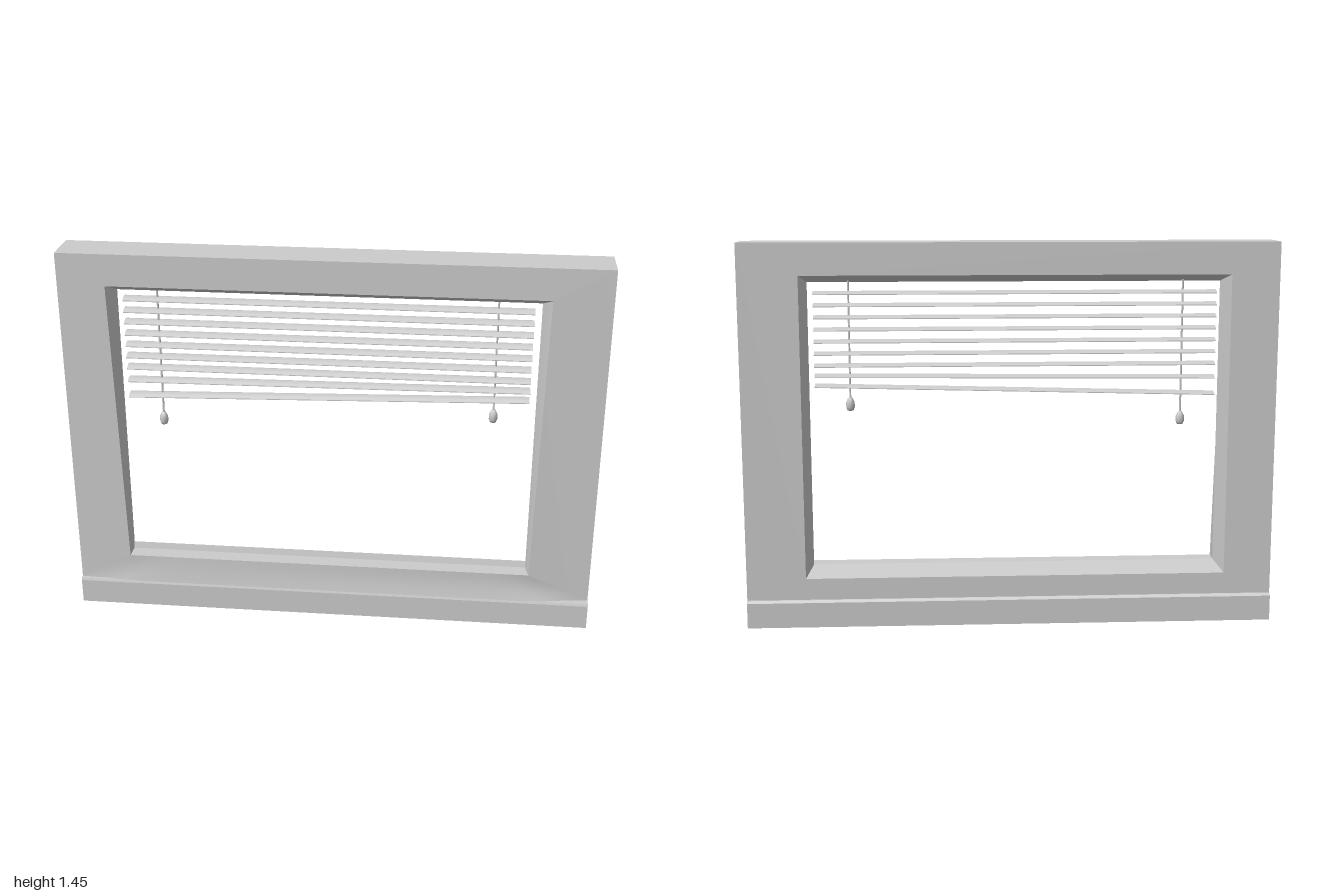
import * as THREE from 'three';

const grey = new THREE.MeshStandardMaterial({ color: 0xcccccc, side: THREE.DoubleSide });

function add(parent, name, geometry, x = 0, y = 0, z = 0) {
  const mesh = new THREE.Mesh(geometry, grey);
  mesh.name = name;
  mesh.position.set(x, y, z);
  parent.add(mesh);
  return mesh;
}

// Surface through rows of [x, y, z] points, smooth inside one surface
function loft(rows) {
  const n = rows[0].length, index = [];
  for (let j = 0; j < rows.length - 1; j++) {
    for (let i = 0; i < n - 1; i++) {
      const a = j * n + i, b = a + 1, c = b + n, d = a + n;
      index.push(a, b, c, a, c, d);
    }
  }
  const g = new THREE.BufferGeometry();
  g.setAttribute('position', new THREE.Float32BufferAttribute(rows.flat(2), 3));
  g.setIndex(index);
  g.computeVertexNormals();
  return g;
}

const mix = (a, b, t) => a.map((v, i) => v + (b[i] - v) * t);

// Flat bands between consecutive rows
function bands(parent, name, rows, skip = () => false) {
  for (let j = 0; j < rows.length - 1; j++) {
    for (let i = 0; i < rows[0].length - 1; i++) {
      if (skip(j, i)) continue;
      add(parent, name, loft([[rows[j][i], rows[j][i + 1]], [rows[j + 1][i], rows[j + 1][i + 1]]]));
    }
  }
}

function buildWall() {
  const wall = new THREE.Group();
  wall.name = 'wall';
  // Rings run bottom left, bottom right, top right, top left
  const frontOuter = [[-1, 0.105, 0.075], [1, 0.105, 0.06], [1, 1.45, 0.08], [-1, 1.45, 0.08]];
  const frontInner = [[-0.797, 0.215, 0.08], [0.765, 0.215, 0.08], [0.786, 1.33, 0.08], [-0.823, 1.33, 0.08]];
  const middle = [[-0.795, 0.215, 0.02], [0.754, 0.215, 0.02], [0.754, 1.3, 0.02], [-0.795, 1.3, 0.02]];
  const backInner = [[-0.82, 0.187, -0.08], [0.777, 0.187, -0.08], [0.777, 1.33, -0.08], [-0.82, 1.33, -0.08]];
  const backOuter = [[-1, 0.105, -0.08], [1, 0.105, -0.08], [1, 1.45, -0.08], [-1, 1.45, -0.08]];
  const rings = [frontOuter, frontInner, middle, backInner, backOuter, frontOuter].map(r => [...r, r[0]]);
  bands(wall, 'wallFace', rings, (j, i) => i === 0 && (j === 0 || j === 4));

  // Front panel under the sill swells out towards the skirting
  const rows = [];
  for (let j = 0; j <= 4; j++) {
    const row = [], v = j / 4;
    for (let i = 0; i <= 24; i++) {
      const u = i / 24;
      const p = mix(mix(frontOuter[0], frontOuter[1], u), mix(frontInner[0], frontInner[1], u), v);
      const reach = THREE.MathUtils.smoothstep(Math.min(u, 1 - u), 0, 0.12);
      p[2] += (0.09 - p[2]) * reach * (1 - v);
      row.push(p);
    }
    rows.push(row);
  }
  add(wall, 'panelUnderSill', loft(rows));
  return wall;
}

// Skirting shell, open underneath
function buildSkirting() {
  const skirting = new THREE.Group();
  skirting.name = 'skirting';
  const levels = [[0, 0.093, -0.094], [0.096, 0.093, -0.094], [0.105, 0.09, -0.087], [0.105, 0.055, -0.078]];
  const rows = levels.map(([y, f, b]) => [[-1, y, f], [1, y, f], [1, y, b], [-1, y, b], [-1, y, f]]);
  bands(skirting, 'skirtingFace', rows);
  return skirting;
}

function buildBlind() {
  const blind = new THREE.Group();
  blind.name = 'blind';

  // Thin bowed slat section, pushed along x
  const half = 0.029, section = new THREE.Shape();
  section.moveTo(-half, -0.006);
  section.quadraticCurveTo(0, 0.014, half, -0.006);
  section.lineTo(half, -0.009);
  section.quadraticCurveTo(0, 0.008, -half, -0.009);
  const slat = new THREE.ExtrudeGeometry(section, { depth: 1.505, bevelEnabled: false, curveSegments: 4 });
  slat.translate(0, 0, -0.7525).rotateY(Math.PI / 2);
  for (let i = 0; i < 9; i++) {
    const y = i < 8 ? 1.265 - i * 0.045 : 0.9;
    const mesh = add(blind, 'slat', slat, -0.0225, y, -0.003);
    mesh.rotation.z = [0.009, 0.026][i - 7] ?? 0;
  }

  // Pull cords with barrel knobs
  const knobProfile = [[0, 0], [0.011, 0.002], [0.016, 0.014], [0.016, 0.034], [0.008, 0.05], [0, 0.053]]
    .map(p => new THREE.Vector2(...p));
  const knob = new THREE.LatheGeometry(knobProfile, 8);
  for (const [x, y] of [[-0.65, 0.755], [0.6, 0.818]]) {
    const length = 1.31 - y - 0.05;
    add(blind, 'pullCord', new THREE.CylinderGeometry(0.004, 0.004, length, 6), x, 1.31 - length / 2, -0.003);
    add(blind, 'cordKnob', knob, x, y, -0.003);
  }
  return blind;
}

export function createModel() {
  const model = new THREE.Group();
  model.name = 'windowWall';
  model.add(buildWall(), buildSkirting(), buildBlind());
  return model;
}
